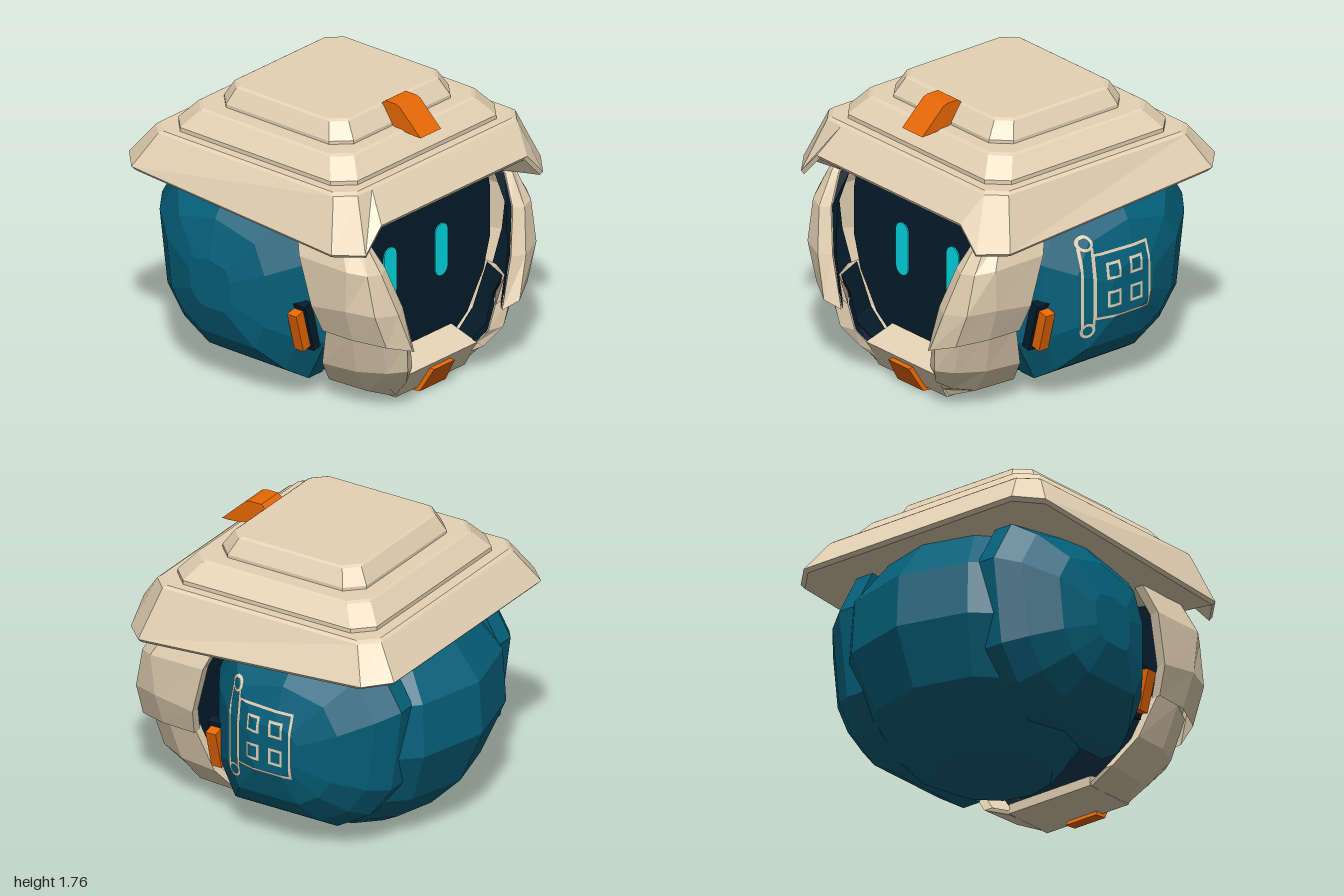
import * as THREE from 'three';

const mat = (name, color, side = THREE.FrontSide) => {
  const m = new THREE.MeshStandardMaterial({ color, side });
  m.name = name;
  return m;
};

// Flat-shaded skin over rows of points; optionally closes rings and caps the ends.
function loft(rows, { closed = true, startCap = false, endCap = false } = {}) {
  const out = [];
  const tri = (...pts) => pts.forEach((p) => out.push(...p));
  const n = rows[0].length, last = closed ? n : n - 1;
  for (let i = 0; i < rows.length - 1; i++) {
    for (let j = 0; j < last; j++) {
      const k = (j + 1) % n;
      const a = rows[i][j], b = rows[i][k], c = rows[i + 1][k], d = rows[i + 1][j];
      tri(a, b, c);
      tri(a, c, d);
    }
  }
  const cap = (r, flip) => {
    const mid = [0, 1, 2].map((k) => r.reduce((s, p) => s + p[k], 0) / n);
    r.forEach((p, j) => (flip ? tri(r[(j + 1) % n], p, mid) : tri(p, r[(j + 1) % n], mid)));
  };
  if (startCap) cap(rows[0], true);
  if (endCap) cap(rows[rows.length - 1], false);
  const g = new THREE.BufferGeometry();
  g.setAttribute('position', new THREE.Float32BufferAttribute(out, 3));
  g.computeVertexNormals();
  return g;
}

// Mirrors rows across x = 0, reversing them to keep faces outward.
const mirror = (rows, s) => (s > 0 ? rows : rows.map((r) => r.map(([x, y, z]) => [-x, y, z])).reverse());

// Side profile given as (z, y) points, extruded across x.
function slab(profile, width) {
  const shape = new THREE.Shape(profile.map(([z, y]) => new THREE.Vector2(-z, y)));
  const g = new THREE.ExtrudeGeometry(shape, { depth: width, bevelEnabled: false });
  return g.translate(0, 0, -width / 2).rotateY(Math.PI / 2);
}

// Chamfered rectangle, front edge split for the brim notch.
function hatRing(hx, zf, zb, y, c) {
  const w = hx - c, h = typeof y === 'function' ? y : () => y;
  return [[-w, zf], [-w * 0.82, zf], [w * 0.82, zf], [w, zf], [hx, zf - c], [hx, zb + c],
    [w, zb], [-w, zb], [-hx, zb + c], [-hx, zf - c]].map(([x, z]) => [x, h(x, z), z]);
}

export function createModel() {
  const model = new THREE.Group();
  model.name = 'helmetHead';
  const cream = mat('cream', 0xe4d2b4, THREE.DoubleSide);
  const teal = mat('teal', 0x04607a);
  const navy = mat('navy', 0x051c2b, THREE.DoubleSide);
  const orange = mat('orange', 0xe86804);
  const cyan = mat('cyan', 0x00dce6);
  const add = (name, geo, material, parent = model) => {
    const m = new THREE.Mesh(geo, material);
    m.name = name;
    parent.add(m);
    return m;
  };

  // Twelve-sided rounded skull: height, radius, front limit
  const skull = [[0, 0.35, 0.22], [0.1, 0.52, 0.27], [0.3, 0.72, 0.37], [0.64, 0.87, 0.41],
    [0.97, 0.85, 0.41], [1.26, 0.62, 0.34], [1.38, 0.4, 0.2]].map(([y, r, front]) =>
    Array.from({ length: 12 }, (_, i) => {
      const a = (i / 12) * Math.PI * 2, c = Math.cos(a);
      return [r * Math.sin(a), y, -0.13 + c * (c > 0 ? front + 0.13 : r)];
    }));
  add('skull', loft(skull, { startCap: true, endCap: true }), teal);

  // Faceted ear pods: outline as (z, y), rings as x and scale
  const outline = [[0.43, 0.92], [0.43, 0.38], [0.3, 0.12], [-0.38, 0.12], [-0.6, 0.25],
    [-0.75, 0.45], [-0.82, 0.97], [-0.66, 1.24], [-0.2, 1.34], [0.3, 1.22]];
  const podRows = [[0.46, 1], [0.58, 1], [0.71, 0.86], [0.85, 0.6], [0.925, 0.25]].map(([x, s]) =>
    outline.map(([z, y]) => [x, 0.69 + (y - 0.69) * s, -0.15 + (z + 0.15) * s]));
  let pod;
  for (const s of [-1, 1]) {
    pod = add(s > 0 ? 'leftEarPod' : 'rightEarPod',
      loft(mirror(podRows, s), { startCap: true, endCap: true }), teal);

    // Orange clip standing on a dark base
    const clip = new THREE.Group();
    clip.name = s > 0 ? 'leftClip' : 'rightClip';
    clip.position.set(s * 0.715, 0.497, 0.355);
    clip.rotation.z = -s * 0.26;
    model.add(clip);
    add('clipBase', new THREE.BoxGeometry(0.06, 0.31, 0.11), navy, clip).position.x = -s * 0.047;
    add('clipTab', new THREE.BoxGeometry(0.065, 0.25, 0.07), orange, clip).position.x = s * 0.014;
  }

  // Line emblem draped on the left pod
  const ray = new THREE.Raycaster();
  pod.updateMatrixWorld(true);
  const drape = (z, y) => {
    ray.set(new THREE.Vector3(2, y, z), new THREE.Vector3(-1, 0, 0));
    const hit = ray.intersectObject(pod)[0];
    return [(hit ? hit.point.x : 0.85) + 0.006, y, z];
  };
  const emblem = new THREE.Group();
  emblem.name = 'emblem';
  model.add(emblem);
  const stroke = (pts, steps, name) => {
    for (let i = 0; i < pts.length - 1; i++) {
      const [z0, y0] = pts[i], [z1, y1] = pts[i + 1];
      const len = Math.hypot(z1 - z0, y1 - y0), dz = (z1 - z0) / len * 0.008, dy = (y1 - y0) / len * 0.008;
      const rows = [];
      for (let k = 0; k <= steps; k++) {
        const z = z0 - dz + (z1 - z0 + 2 * dz) * k / steps, y = y0 - dy + (y1 - y0 + 2 * dy) * k / steps;
        rows.push([drape(z - dy, y + dz), drape(z + dy, y - dz)]);
      }
      add(name, loft(rows, { closed: false }), cream, emblem);
    }
  };
  const box = (z0, z1, y0, y1) => [[z0, y0], [z1, y0], [z1, y1], [z0, y1], [z0, y0]];
  stroke(box(0.1, -0.275, 0.54, 0.937), 20, 'bannerLine');
  stroke([[0.175, 0.5], [0.175, 0.975]], 20, 'rodLine');
  stroke([[0.105, 0.5], [0.105, 0.975]], 20, 'rodLine');
  for (const y of [0.47, 1.01]) {
    stroke(Array.from({ length: 17 }, (_, i) => [0.14 + 0.038 * Math.cos(i * Math.PI / 8),
      y + 0.038 * Math.sin(i * Math.PI / 8)]), 2, 'rodKnob');
  }
  for (const z of [0.022, -0.138]) for (const y of [0.61, 0.785]) {
    stroke(box(z, z - 0.078, y, y + 0.087), 5, 'bannerWindow');
  }

  // Dark face plate and glowing eyes
  const half = [[0.31, 0.17], [0.46, 0.28], [0.6, 0.5], [0.66, 0.7], [0.66, 1.0], [0.62, 1.19], [0.36, 1.28]];
  const face = new THREE.Shape([...half, ...half.map(([x, y]) => [-x, y]).reverse()]
    .map(([x, y]) => new THREE.Vector2(x, y)));
  add('facePlate', new THREE.ExtrudeGeometry(face, { depth: 0.02, bevelEnabled: false }), navy).position.z = 0.59;
  for (const s of [-1, 1]) {
    const eye = new THREE.Shape();
    eye.absarc(0, 0.11, 0.055, 0, Math.PI);
    eye.absarc(0, -0.11, 0.055, Math.PI, Math.PI * 2);
    add(s > 0 ? 'leftEye' : 'rightEye', new THREE.ExtrudeGeometry(eye, { depth: 0.008, bevelEnabled: false }), cyan)
      .position.set(s * 0.225, 0.755, 0.61);
  }

  // Cheek and jaw guards: opening edge, front ridge, outer bevel, side corner, rear edge per row
  const cheek = [
    [[0.63, 1.24, 0.7], [0.66, 1.24, 0.72], [0.68, 1.24, 0.68], [0.7, 1.24, 0.6], [0.69, 1.24, 0.32]],
    [[0.61, 1.15, 0.77], [0.65, 1.15, 0.79], [0.7, 1.16, 0.76], [0.73, 1.17, 0.68], [0.73, 1.17, 0.34]],
    [[0.56, 0.98, 0.87], [0.63, 0.97, 0.9], [0.72, 0.98, 0.87], [0.79, 1.0, 0.77], [0.79, 1.0, 0.41]],
    [[0.475, 0.72, 0.93], [0.56, 0.71, 0.97], [0.71, 0.73, 0.92], [0.775, 0.74, 0.75], [0.775, 0.7, 0.49]],
    [[0.385, 0.41, 0.94], [0.47, 0.46, 1.0], [0.62, 0.51, 0.93], [0.7, 0.53, 0.74], [0.71, 0.53, 0.52]]];
  const jaw = [
    [[0.375, 0.44, 0.9], [0.46, 0.5, 0.95], [0.6, 0.54, 0.88], [0.68, 0.55, 0.72], [0.69, 0.55, 0.53]],
    [[0.335, 0.28, 0.88], [0.42, 0.29, 0.92], [0.52, 0.29, 0.85], [0.6, 0.28, 0.68], [0.62, 0.27, 0.44]],
    [[0.305, 0.2, 0.82], [0.34, 0.17, 0.84], [0.4, 0.13, 0.77], [0.46, 0.1, 0.64], [0.48, 0.1, 0.37]],
    [[0.29, 0.2, 0.8], [0.29, 0.14, 0.79], [0.29, 0.08, 0.75], [0.29, 0.03, 0.72], [0.31, 0.03, 0.39]]];
  const inset = ([x, y, z], dx, dz) => [x - dx, y, z - dz];
  for (const s of [-1, 1]) {
    for (const [part, rows] of [['Cheek', cheek], ['Jaw', jaw]]) {
      const name = (s > 0 ? 'left' : 'right') + part;
      const shell = rows.map(([a, b, c, e, d]) =>
        [a, b, c, e, d, inset(d, 0.06, 0), inset(e, 0.06, 0.03), inset(c, 0.05, 0.06), inset(b, 0.05, 0.08)].reverse());
      add(name + 'Guard', loft(mirror(shell, s)), cream);
      const liner = rows.map(([a, b, c, e]) =>
        [inset(a, 0.003, 0.006), inset(b, 0.06, 0.09), inset(c, 0.06, 0.07), inset(e, 0.07, 0.09)]);
      add(name + 'Liner', loft(mirror(liner, s), { closed: false }), navy);
    }
  }
  add('chin', slab([[0.62, 0.26], [0.82, 0.2], [0.725, 0.03], [0.38, 0.03], [0.38, 0.09], [0.58, 0.14]], 0.61), cream);

  // Chin badge, flared toward the bottom
  const badge = slab([[0.78, 0.17], [0.835, 0.165], [0.745, 0.01], [0.66, 0], [0.68, 0.04]], 0.2);
  const bp = badge.attributes.position;
  for (let i = 0; i < bp.count; i++) bp.setX(i, bp.getX(i) * (1.15 - 1.5 * bp.getY(i)));
  badge.computeVertexNormals();
  add('chinBadge', badge, orange);

  // Three-tier hat with a tilted, notched brim
  const brimY = (lift) => (x, z) => lift + (z > 0.88 && Math.abs(x) < 0.7 ? 1.27 : 1.125 + 0.07 * (0.91 - z));
  const tiers = {
    hatBrim: [[0.905, 0.9, -0.88, brimY(0), 0.14], [0.92, 0.91, -0.9, brimY(0.02), 0.14],
      [0.8, 0.78, -0.76, 1.46, 0.1], [0.78, 0.76, -0.74, 1.475, 0.1]],
    hatMiddle: [[0.72, 0.7, -0.67, 1.47, 0.11], [0.72, 0.7, -0.67, 1.5, 0.11],
      [0.635, 0.61, -0.58, 1.605, 0.1], [0.62, 0.59, -0.565, 1.615, 0.1]],
    hatTop: [[0.525, 0.51, -0.48, 1.61, 0.1], [0.525, 0.51, -0.48, 1.635, 0.1],
      [0.475, 0.445, -0.425, 1.73, 0.08], [0.46, 0.43, -0.41, 1.74, 0.08]],
  };
  for (const [name, rings] of Object.entries(tiers)) {
    add(name, loft(rings.map((r) => hatRing(...r)), { endCap: true }), cream);
  }
  // Brim underside: z, then x and y of four points per half
  const flat = (z, edge) => [z, ...[edge, 0.6, 0.4, 0.34].map((x) => [x, 1.125 + 0.07 * (0.91 - z)])];
  const under = [
    [0.9, [0.765, 1.126], [0.627, 1.27], [0.5, 1.27], [0.35, 1.27]],
    [0.76, [0.905, 1.136], [0.6, 1.17], [0.4, 1.2], [0.34, 1.27]],
    [0.55, [0.905, 1.15], [0.6, 1.165], [0.4, 1.2], [0.34, 1.265]],
    flat(0.35, 0.905), flat(-0.74, 0.905), flat(-0.88, 0.765)].map(([z, ...h]) =>
    [...h.map(([x, y]) => [x, y, z]), ...h.map(([x, y]) => [-x, y, z]).reverse()]);
  add('brimUnderside', loft(under, { closed: false }), cream);
  add('hatBadge', slab([[0.73, 1.6], [0.57, 1.75], [0.54, 1.76], [0.46, 1.76], [0.43, 1.735],
    [0.5, 1.63], [0.54, 1.612], [0.68, 1.6]], 0.18), orange);
  return model;
}
